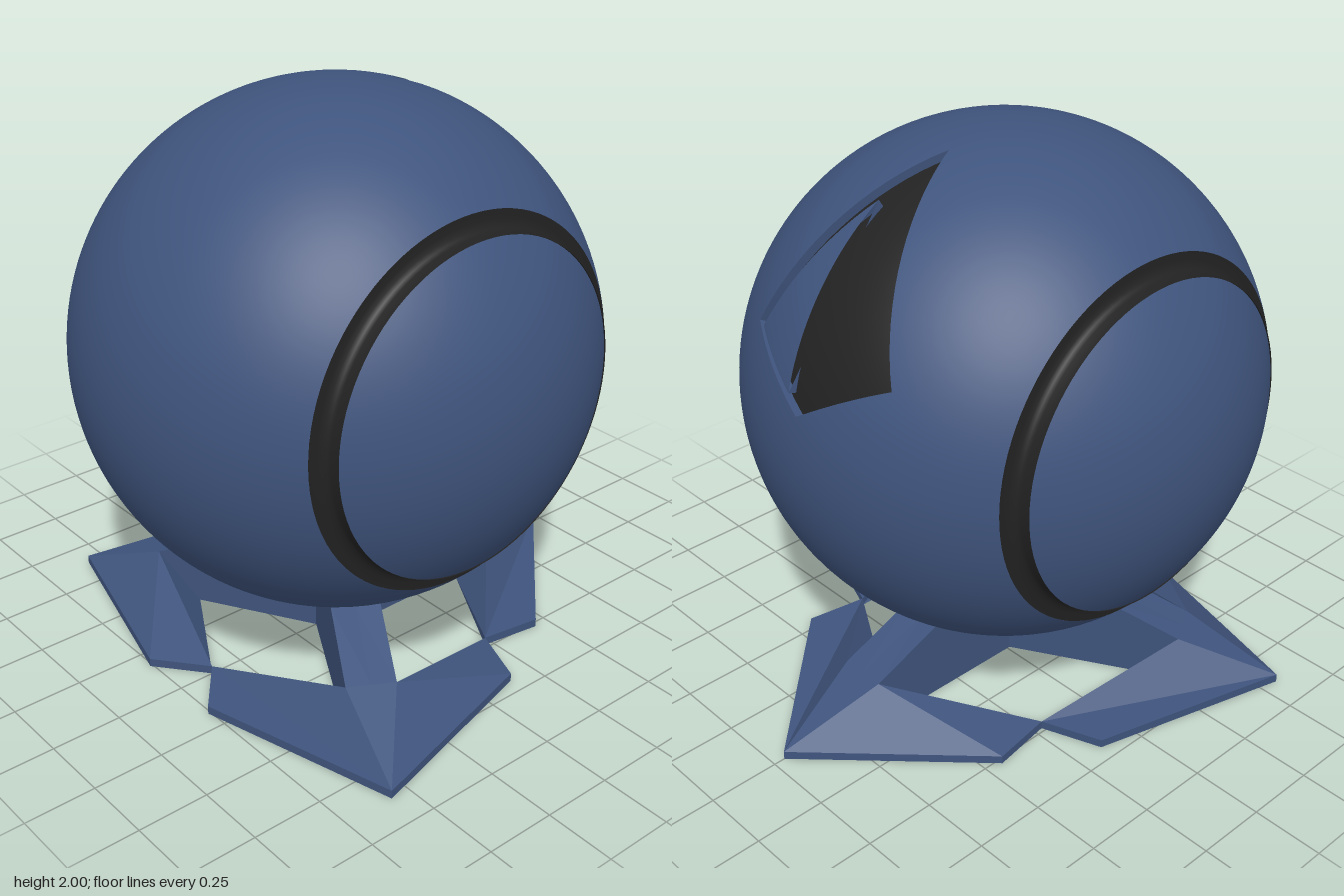
import * as THREE from 'three';

const R = 0.893, CY = 1.107, CZ = 0.06, FLOOR = 0.968;
const mat = (color, flatShading = false) =>
  new THREE.MeshStandardMaterial({ color, flatShading, side: THREE.DoubleSide });

function mesh(name, geometry, material) {
  const m = new THREE.Mesh(geometry, material);
  m.name = name;
  return m;
}

// Point on the ball: x across, t = angle about the x axis from the top towards the back
function onBall(x, t, scale = 1) {
  const rho = Math.sqrt(R * R - x * x);
  return new THREE.Vector3(x, rho * Math.cos(t), -rho * Math.sin(t)).multiplyScalar(scale);
}

// Evenly spaced values through a list of breakpoints
function steps(breaks, n) {
  const out = [breaks[0]];
  for (let k = 1; k < breaks.length; k++)
    for (let i = 1; i <= n; i++) out.push(breaks[k - 1] + (breaks[k] - breaks[k - 1]) * i / n);
  return out;
}

// Spherical patch between two angle curves lo(x) and hi(x)
function patch(xs, lo, hi, rows, scale = 1) {
  const pos = [], nor = [], idx = [];
  xs.forEach((x, i) => {
    for (let j = 0; j <= rows; j++) {
      const p = onBall(x, lo(x) + (hi(x) - lo(x)) * j / rows, scale);
      pos.push(p.x, p.y, p.z);
      p.normalize();
      nor.push(p.x, p.y, p.z);
      if (i && j) {
        const c = i * (rows + 1) + j, a = c - rows - 1;
        idx.push(a - 1, c - 1, c, a - 1, c, a);
      }
    }
  });
  const g = new THREE.BufferGeometry();
  g.setAttribute('position', new THREE.Float32BufferAttribute(pos, 3));
  g.setAttribute('normal', new THREE.Float32BufferAttribute(nor, 3));
  g.setIndex(idx);
  return g;
}

// Triangles from a list of convex polygons
function fromPolygons(polys) {
  const pos = [];
  for (const p of polys)
    for (let i = 1; i < p.length - 1; i++) pos.push(...p[0], ...p[i], ...p[i + 1]);
  const g = new THREE.BufferGeometry();
  g.setAttribute('position', new THREE.Float32BufferAttribute(pos, 3));
  g.computeVertexNormals();
  return g;
}

// Radial wall from the ball surface to the recess floor, around a patch outline
function wall(xs, lo, hi, endColumns) {
  const ring = [...xs.map(x => [x, lo(x)]), ...[...xs].reverse().map(x => [x, hi(x)])];
  if (endColumns) ring.push(ring[0]);
  const polys = [];
  for (let i = 1; i < ring.length; i++) {
    const [a, b] = [ring[i - 1], ring[i]];
    polys.push([onBall(...a), onBall(...b), onBall(...b, FLOOR), onBall(...a, FLOOR)].map(v => v.toArray()));
  }
  return fromPolygons(polys);
}

// One leg of the stand, pointing along +x; half is described and mirrored
function legGeometry() {
  const W = 0.085;
  const bowl = (r, w) => [r, CY - Math.sqrt(0.903 ** 2 - r * r - w * w), w];
  const ground = p => [p[0], 0, p[2]];
  const T = [1.02, 0.03, 0], E = [0.5, 0.03, 0.52], J = [0.28, 0.03, 0.485];
  const M = [0.67, 0.175, 0], S = [0.67, 0.175, W], F = [0.51, 0, W], FM = [0.51, 0, 0];
  const edge = [0.38, 0.28, 0.18, 0.049].map(r => bowl(r, W));
  const mid = [0.38, 0.26, 0.13, 0].map(r => bowl(r, 0));
  const [T0, E0, J0] = [T, E, J].map(ground);
  const half = [
    [T, M, S], [T, S, J, E],                    // sloping top of foot and arm
    [T, E, E0, T0], [E, J, J0, E0],             // thin outer rim
    [J, S, F, J0],                              // inner slope of the opening
    [M, mid[0], edge[0], S], [S, edge[0], ground(edge[0]), F],
    [T0, E0, J0, F], [T0, F, FM],               // underside
    [FM, F, ground(edge[0]), ground(mid[0])],
  ];
  // Spoke whose top follows the ball
  for (let i = 0; i < 3; i++) {
    const [a, b, c, d] = [mid[i], mid[i + 1], edge[i + 1], edge[i]];
    half.push([a, b, c, d], [d, c, ground(c), ground(d)], [a, d, c, b].map(ground));
  }
  const mirrored = half.map(p => p.map(([x, y, z]) => [x, y, -z]).reverse());
  return fromPolygons([...half, ...mirrored]);
}

export function createModel() {
  const model = new THREE.Group();
  model.name = 'displayBall';
  const blue = mat(0x3f547d), blueFlat = mat(0x3f547d, true), dark = mat(0x222222);

  const ball = new THREE.Group();
  ball.name = 'ball';
  ball.position.set(0, CY, CZ);
  model.add(ball);

  // Kite-shaped window on the upper back
  const HALF = 0.32, CORNER = 1.148;
  const k = x => Math.min(1, Math.abs(x) / HALF);
  const lo = x => 0.272 + (CORNER - 0.272) * k(x);
  const hi = x => 1.379 + (CORNER - 1.379) * k(x);
  const windowXs = steps([-HALF, 0, HALF], 16);

  // Ball shell runs from the window's lower edge round to its upper edge
  const shellXs = steps([-0.635, -HALF, 0, HALF, 0.635], 16);
  ball.add(mesh('shell', patch(shellXs, hi, x => lo(x) + Math.PI * 2, 120), blue));
  ball.add(mesh('windowFloor', patch(windowXs, lo, hi, 24, FLOOR), dark));
  ball.add(mesh('windowWall', wall(windowXs, lo, hi, false), blueFlat));

  // Raised panel in one half of the window
  const u = x => (x - 0.05) / 0.23;
  const panelLo = x => 0.571 + 0.584 * u(x);
  const panelHi = x => 1.315 - 0.16 * u(x);
  const panelXs = steps([0.05, 0.28], 12);
  ball.add(mesh('windowPanel', patch(panelXs, panelLo, panelHi, 20), blue));
  ball.add(mesh('panelWall', wall(panelXs, panelLo, panelHi, true), blueFlat));

  // Side caps, each set off by a dark groove
  const groove = [[0.565, 0.697], [0.565, 0.662], [0.572, 0.65], [0.583, 0.641], [0.6, 0.636], [0.628, 0.635]]
    .map(p => new THREE.Vector2(...p)).reverse();
  for (const s of [1, -1]) {
    const side = new THREE.Group();
    side.name = s > 0 ? 'leftSide' : 'rightSide';
    side.rotation.z = -s * Math.PI / 2;
    side.add(mesh('groove', new THREE.LatheGeometry(groove, 96), dark));
    side.add(mesh('cap', new THREE.SphereGeometry(R, 96, 24, 0, Math.PI * 2, 0, Math.asin(0.565 / R)), blue));
    ball.add(side);
  }

  // Three-legged stand
  const stand = new THREE.Group();
  stand.name = 'stand';
  stand.position.z = CZ;
  const leg = legGeometry();
  for (const deg of [30, 150, 270]) {
    const m = mesh('leg', leg, blueFlat);
    m.rotation.y = -deg * Math.PI / 180;
    stand.add(m);
  }
  model.add(stand);
  return model;
}
